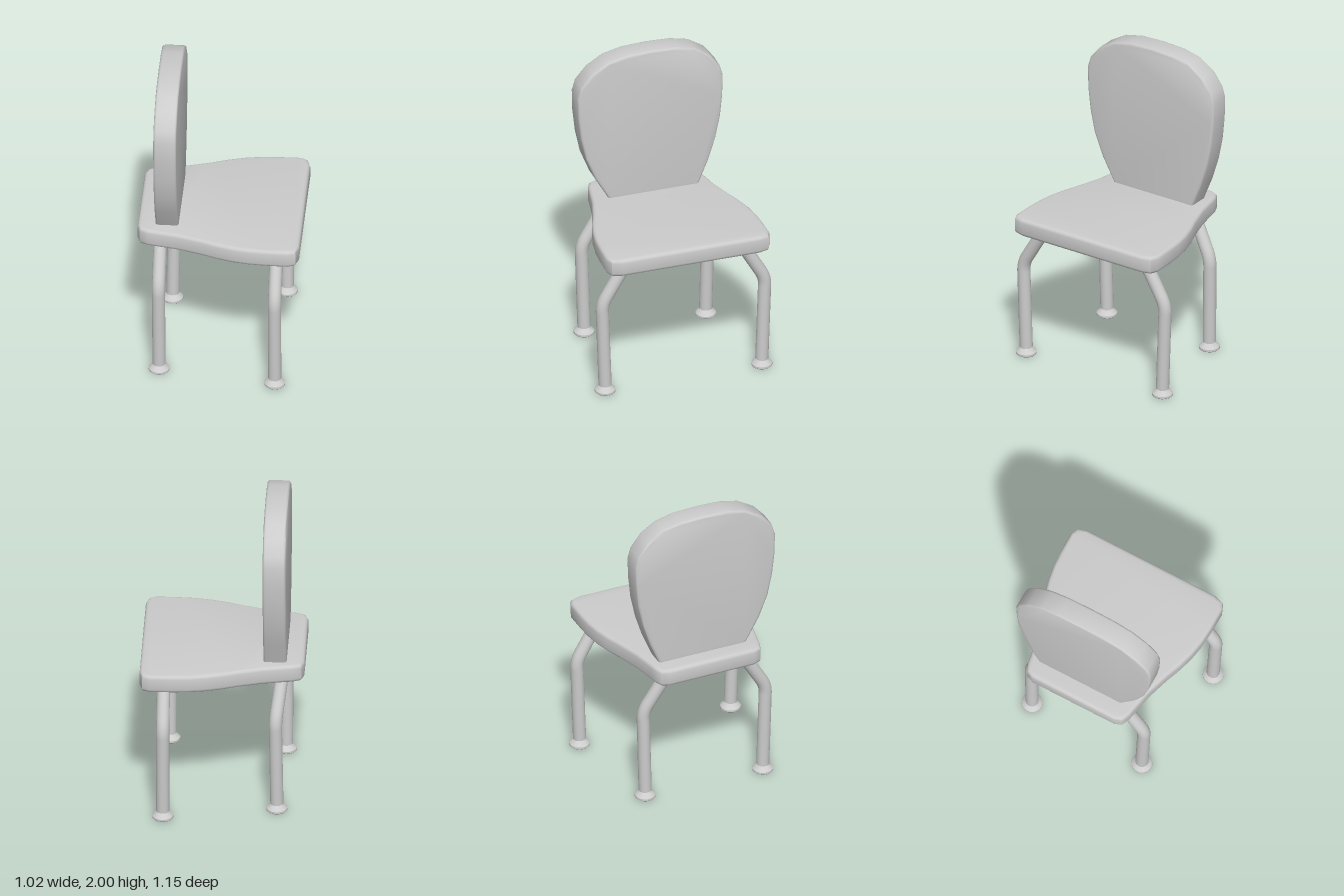
import * as THREE from 'three';
import { toCreasedNormals } from 'three/addons/utils/BufferGeometryUtils.js';

const material = new THREE.MeshStandardMaterial({ color: 0xcccccc, side: THREE.DoubleSide });

function addMesh(parent, name, geometry) {
  const mesh = new THREE.Mesh(geometry, material);
  mesh.name = name;
  parent.add(mesh);
  return mesh;
}

// Slab with rounded edges that keeps the given outline and thickness
function roundedSlab(points, thickness, bevel) {
  const shape = new THREE.Shape(points.map(([x, y]) => new THREE.Vector2(x, y)));
  const geometry = new THREE.ExtrudeGeometry(shape, {
    depth: thickness - 2 * bevel,
    bevelEnabled: true,
    bevelThickness: bevel,
    bevelSize: bevel,
    bevelOffset: -bevel,
    bevelSegments: 3,
  });
  geometry.translate(0, 0, bevel);
  return toCreasedNormals(geometry, 0.8);
}

// Bent tube leg with a flared foot; top, knee and ankle are [x, z]
function makeLeg(name, top, knee, ankle) {
  const leg = new THREE.Group();
  leg.name = name;
  const a = new THREE.Vector3(top[0], 0.92, top[1]);
  const b = new THREE.Vector3(knee[0], 0.625, knee[1]);
  const c = new THREE.Vector3(ankle[0], 0.05, ankle[1]);
  const bendIn = b.clone().lerp(a, 0.17);
  const bendOut = b.clone().lerp(c, 0.09);
  const path = new THREE.CurvePath();
  path.add(new THREE.LineCurve3(a, bendIn));
  path.add(new THREE.QuadraticBezierCurve3(bendIn, b, bendOut));
  path.add(new THREE.LineCurve3(bendOut, c));
  addMesh(leg, 'legTube', new THREE.TubeGeometry(path, 40, 0.041, 20));

  const cap = addMesh(leg, 'legEndCap', new THREE.CircleGeometry(0.041, 20));
  cap.rotation.x = Math.PI / 2;
  cap.position.copy(c);

  // Disc foot rising to a short neck
  const profile = [[0, 0], [0.06, 0], [0.065, 0.005], [0.065, 0.017], [0.06, 0.023], [0.03, 0.042], [0.03, 0.06]]
    .map(([r, y]) => new THREE.Vector2(r, y));
  const foot = addMesh(leg, 'foot', toCreasedNormals(new THREE.LatheGeometry(profile, 24), 0.6));
  foot.position.set(ankle[0], 0, ankle[1]);
  return leg;
}

export function createModel() {
  const chair = new THREE.Group();
  chair.name = 'chair';

  // Seat: half outline from front edge to rear edge, mirrored across the middle
  const half = [
    [0.507, 0.45], [0.488, 0.513], [0.44, 0.533], [0.3, 0.531], [0.2, 0.525], [0.1, 0.508],
    [0, 0.48], [-0.1, 0.442], [-0.25, 0.395], [-0.4, 0.365], [-0.44, 0.358], [-0.49, 0.336], [-0.509, 0.287],
  ];
  const outline = [...half, ...half.map(([x, z]) => [x, -z]).reverse()];
  const seat = roundedSlab(outline, 0.115, 0.022);
  seat.rotateX(-Math.PI / 2);
  seat.translate(0, 0.885, 0);
  addMesh(chair, 'seat', seat);

  // Backrest: a rounded shield, in (-z, y), with its base sunk into the seat
  const back = roundedSlab([
    [-0.27, 0.97], [0.3, 0.97], [0.312, 1.01], [0.37, 1.15], [0.417, 1.3], [0.448, 1.45], [0.463, 1.6],
    [0.467, 1.74], [0.447, 1.81], [0.38, 1.9], [0.28, 1.965], [0.16, 1.993], [0, 2],
    [-0.16, 1.993], [-0.28, 1.965], [-0.387, 1.9], [-0.46, 1.815], [-0.482, 1.74], [-0.479, 1.6],
    [-0.462, 1.45], [-0.43, 1.3], [-0.37, 1.15], [-0.29, 1.01],
  ], 0.143, 0.016);
  back.rotateY(Math.PI / 2);
  back.translate(-0.399, 0, 0);
  addMesh(chair, 'backrest', back);

  // Legs: wide pair under the open end, narrower pair under the backrest
  chair.add(
    makeLeg('wideLegLeft', [0.36, 0.36], [0.36, 0.535], [0.36, 0.515]),
    makeLeg('wideLegRight', [0.36, -0.36], [0.36, -0.53], [0.36, -0.51]),
    makeLeg('narrowLegLeft', [-0.37, 0.25], [-0.37, 0.425], [-0.367, 0.408]),
    makeLeg('narrowLegRight', [-0.375, -0.225], [-0.333, -0.39], [-0.342, -0.38]),
  );
  return chair;
}
